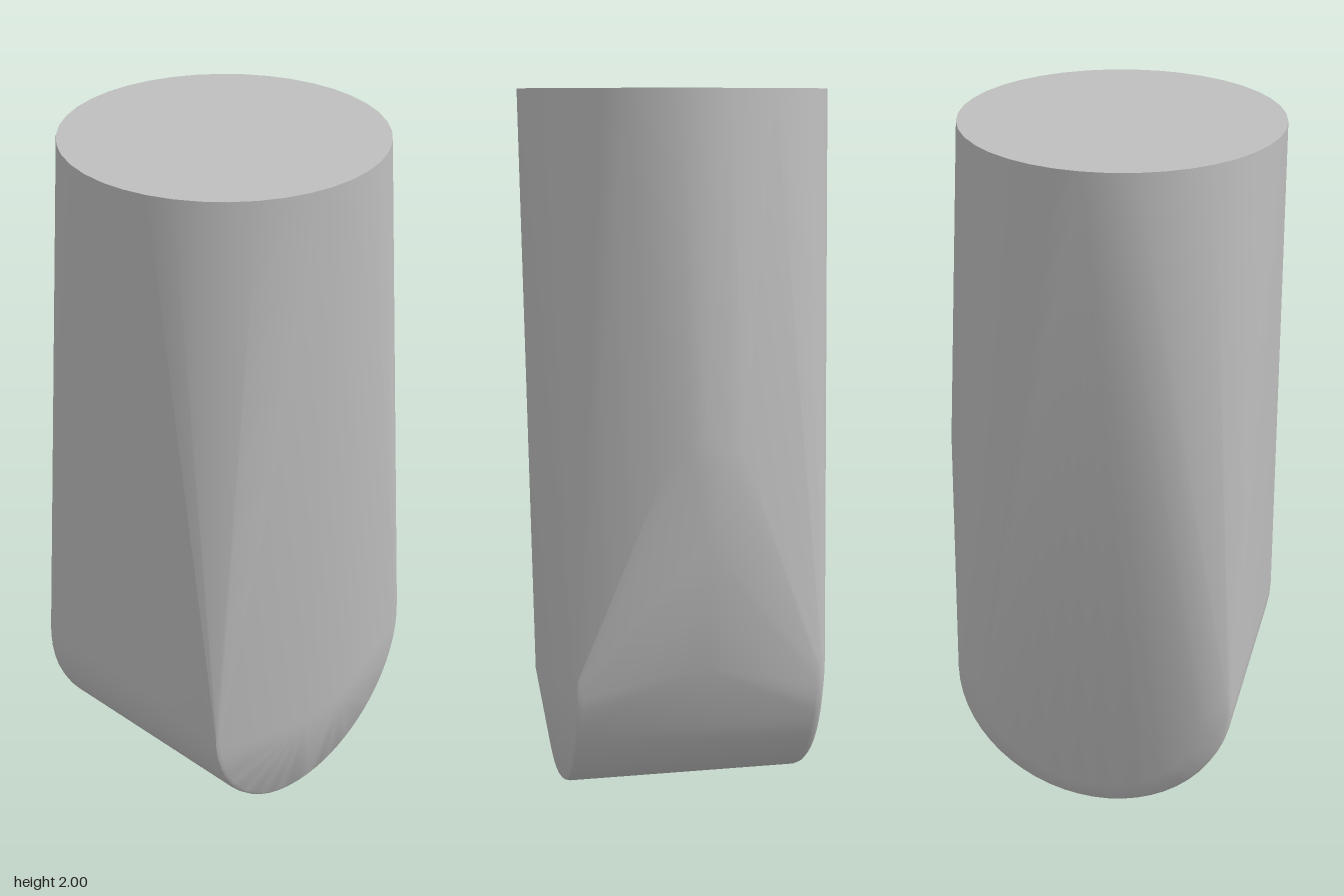
import * as THREE from 'three';
import { ConvexGeometry } from 'three/addons/geometries/ConvexGeometry.js';
import { toCreasedNormals } from 'three/addons/utils/BufferGeometryUtils.js';

const CX = -0.032;

// Points round a circle, mapped into place by a function of (cos, sin)
function ring(count, place) {
  return Array.from({ length: count }, (_, i) => {
    const a = (i / count) * Math.PI * 2;
    return place(Math.cos(a), Math.sin(a));
  });
}

// Upright disc across z, centred on the rounded foot
function footRing(radius, z, count = 56) {
  return ring(count, (c, s) => new THREE.Vector3(CX + radius * c, 0.41 + radius * s, z));
}

export function createModel() {
  const grey = new THREE.MeshStandardMaterial({ color: 0xbebebe });
  grey.name = 'plain grey';

  const points = [
    // flat round top
    ...ring(40, (c, s) => new THREE.Vector3(CX + 0.436 * c, 2, 0.436 * s)),
    // half-round foot with softened rims
    ...footRing(0.397, 0.352),
    ...footRing(0.406, 0.345),
    ...footRing(0.41, 0.33),
    ...footRing(0.41, -0.33),
    ...footRing(0.406, -0.345),
    ...footRing(0.397, -0.354),
    // domed back of the foot
    ...footRing(0.335, -0.375),
  ];

  // shallow swell on the front face
  for (const x of [-0.08, 0, 0.08]) points.push(new THREE.Vector3(CX + x, 0.3, 0.4));

  // bulge down the left side
  const bulge = [[0.465, 1.08], [0.465, 1.0], [0.457, 0.8], [0.436, 0.6], [0.41, 0.44]];
  for (const [x, y] of bulge) points.push(new THREE.Vector3(x, y, 0));
  for (const z of [0.05, 0.1]) {
    for (const side of [-1, 1]) {
      points.push(new THREE.Vector3(0.465 - 1.6 * z * z, 1.04, side * z));
    }
  }

  const body = new THREE.Mesh(toCreasedNormals(new ConvexGeometry(points), 0.6), grey);
  body.name = 'body';

  const model = new THREE.Group();
  model.name = 'taperedPeg';
  model.add(body);
  return model;
}
